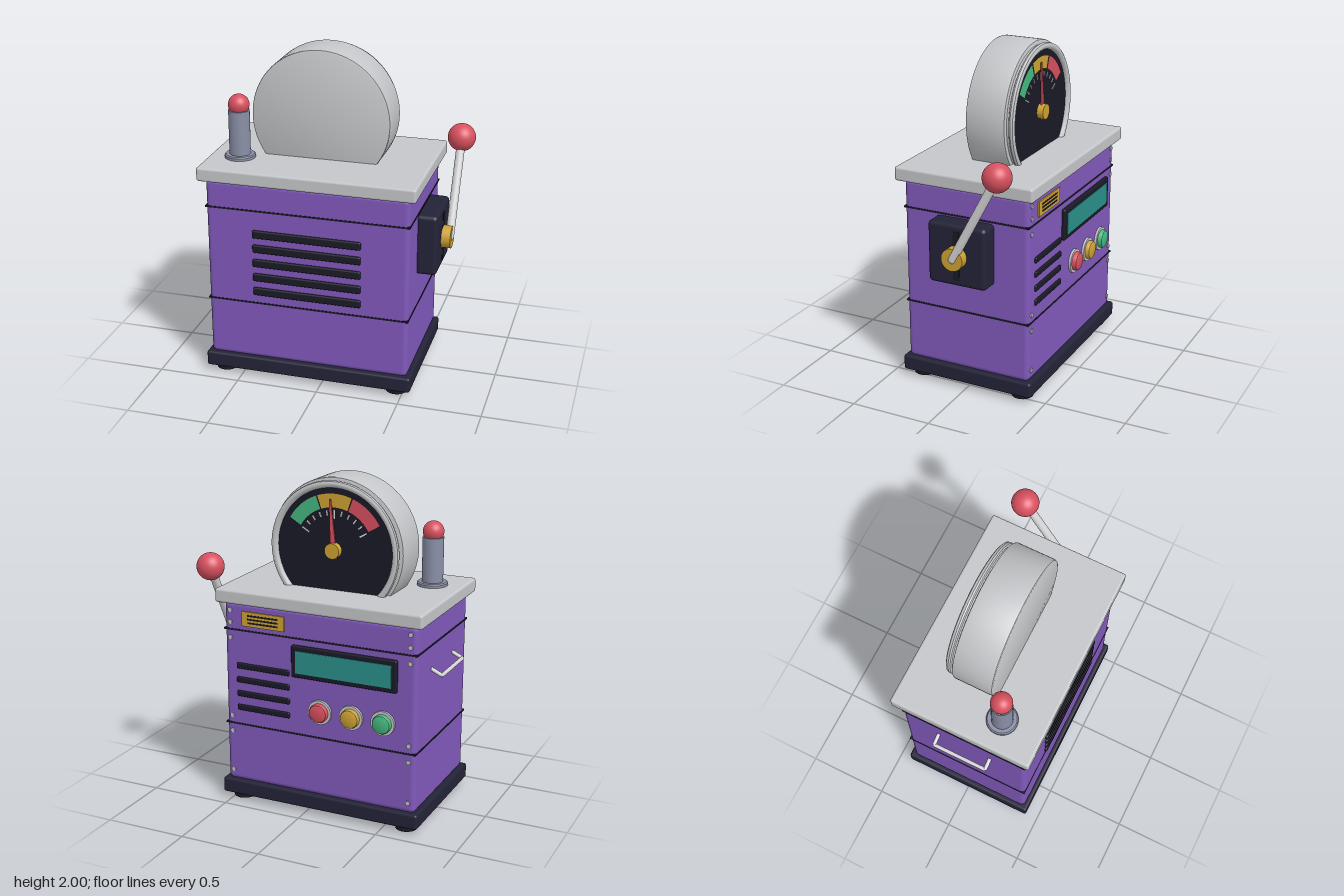
import * as THREE from 'three';
import { toCreasedNormals } from 'three/addons/utils/BufferGeometryUtils.js';
import { RoundedBoxGeometry } from 'three/addons/geometries/RoundedBoxGeometry.js';

const material = (name, color) => {
  const m = new THREE.MeshStandardMaterial({ color });
  m.name = name;
  return m;
};

export function createModel() {
  const purple = material('purple', 0x8159bc);
  const grey = material('grey', 0xc5c6c9);
  const navy = material('navy', 0x232338);
  const black = material('black', 0x1a1a26);
  const slate = material('slate', 0x8a8fa6);
  const red = material('red', 0xd8505f);
  const gold = material('gold', 0xcfa233);
  const teal = material('teal', 0x2a8f8a);
  const green = material('green', 0x45b880);
  const steel = material('steel', 0xd6d6d8);

  const CX = -0.085; // centre line of the cabinet
  const model = new THREE.Group();
  model.name = 'meterCabinet';

  const add = (parent, name, geometry, mat, x = 0, y = 0, z = 0) => {
    const mesh = new THREE.Mesh(geometry, mat);
    mesh.name = name;
    mesh.position.set(x, y, z);
    parent.add(mesh);
    return mesh;
  };
  const group = (name, x = 0, y = 0, z = 0) => {
    const g = new THREE.Group();
    g.name = name;
    g.position.set(x, y, z);
    model.add(g);
    return g;
  };
  const rbox = (w, h, d, r) => new RoundedBoxGeometry(w, h, d, 3, r);
  const box = (w, h, d) => new THREE.BoxGeometry(w, h, d);
  // disc facing z
  const disc = (r, h, seg = 32) => new THREE.CylinderGeometry(r, r, h, seg).rotateX(Math.PI / 2);
  const lathe = (pts, seg = 48) => toCreasedNormals(
    new THREE.LatheGeometry(pts.map(([r, y]) => new THREE.Vector2(r, y)), seg), 0.6);

  // Cabinet
  add(model, 'base', rbox(1.28, 0.095, 0.85, 0.015), navy, CX, 0.083, 0);
  add(model, 'body', rbox(1.23, 1.135, 0.8, 0.03), purple, CX, 0.6925, 0);
  add(model, 'topPlate', rbox(1.31, 0.085, 0.88, 0.015), grey, CX, 1.2975, 0);
  for (const y of [0.495, 1.09]) add(model, 'seam', box(1.236, 0.01, 0.806), black, CX, y, 0);
  for (const x of [-0.54, 0.54]) for (const z of [-0.33, 0.33]) {
    add(model, 'foot', new THREE.CylinderGeometry(0.065, 0.065, 0.04, 24), black, CX + x, 0.02, z);
  }

  // Front louvres
  for (let i = 0; i < 5; i++) {
    add(model, 'frontVent', rbox(0.66, 0.05, 0.03, 0.01), black, CX, 0.575 + i * 0.0925, 0.4);
  }

  // Signal lamp
  const lamp = group('signalLamp', -0.555, 1.34, 0.185);
  add(lamp, 'lampPost', lathe([[0, -0.01], [0.092, -0.01], [0.092, 0.015], [0.085, 0.022],
    [0.063, 0.022], [0.063, 0.29], [0, 0.29]], 32), slate);
  add(lamp, 'lampBulb', new THREE.SphereGeometry(0.063, 32, 20), red, 0, 0.322, 0);

  // Side lever
  const lever = group('lever', 0, 0.89, 0);
  add(lever, 'leverBox', rbox(0.13, 0.375, 0.37, 0.025), navy, 0.58, 0.003, 0);
  add(lever, 'leverSlot', box(0.008, 0.3, 0.04), black, 0.643, 0.003, 0);
  add(lever, 'leverHub', new THREE.CylinderGeometry(0.068, 0.068, 0.06, 32).rotateZ(Math.PI / 2),
    gold, 0.67, 0, 0);
  const tip = new THREE.Vector3(0.685, 0.532, -0.283);
  const root = new THREE.Vector3(0.685, 0, 0);
  const span = tip.clone().sub(root);
  const rod = add(lever, 'leverRod', new THREE.CylinderGeometry(0.026, 0.026, span.length(), 20), steel);
  rod.position.copy(root).addScaledVector(span, 0.5);
  rod.quaternion.setFromUnitVectors(new THREE.Vector3(0, 1, 0), span.clone().normalize());
  add(lever, 'leverRodEnd', new THREE.SphereGeometry(0.026, 20, 12), steel, 0.685, 0, 0);
  add(lever, 'leverKnob', new THREE.SphereGeometry(0.084, 32, 24), red, tip.x, tip.y, tip.z);

  // Carrying handle
  const path = new THREE.CurvePath();
  const corners = [[-0.69, 0.948, -0.17], [-0.763, 0.914, -0.17], [-0.763, 0.914, 0.17], [-0.69, 0.948, 0.17]]
    .map((p) => new THREE.Vector3(...p));
  for (let i = 0; i < 3; i++) path.add(new THREE.LineCurve3(corners[i], corners[i + 1]));
  add(model, 'sideHandle', new THREE.TubeGeometry(path, 80, 0.012, 10), steel);

  // Gauge: local +z points out of the dial
  const gauge = group('gauge', CX, 1.58, 0);
  gauge.rotation.y = Math.PI;
  const R = 0.42;
  add(gauge, 'gaugeDrum', lathe([[0, -0.1], [R - 0.012, -0.1], [R - 0.003, -0.096], [R, -0.088],
    [R, 0.138], [R - 0.003, 0.147], [R - 0.012, 0.15], [0, 0.15]], 80).rotateX(Math.PI / 2), grey);
  add(gauge, 'gaugeBezel', lathe([[0.392, 0.14], [0.392, 0.162], [0.402, 0.168], [0.406, 0.178],
    [0.402, 0.192], [0.392, 0.198], [0.38, 0.198], [0.37, 0.192], [0.364, 0.18], [0.364, 0.15]], 80)
    .rotateX(Math.PI / 2), grey);
  add(gauge, 'dialFace', disc(0.366, 0.03, 64), black, 0, 0, 0.16);
  const rad = THREE.MathUtils.degToRad;
  [[red, 30], [gold, 70], [green, 110]].forEach(([mat, start]) => {
    add(gauge, 'dialZone', new THREE.RingGeometry(0.25, 0.33, 20, 1, rad(start + 0.8), rad(38.4)),
      mat, 0, 0, 0.179);
  });
  for (let i = 0; i <= 10; i++) {
    const a = rad(30 + i * 12);
    const len = i % 5 ? 0.03 : 0.05;
    const r = 0.235 - len / 2;
    add(gauge, 'dialTick', box(len, 0.008, 0.005), steel, r * Math.cos(a), r * Math.sin(a), 0.178)
      .rotation.z = a;
  }
  const needleShape = new THREE.Shape([[-0.02, -0.05], [0.02, -0.05], [0.005, 0.3], [-0.005, 0.3]]
    .map((p) => new THREE.Vector2(...p)));
  add(gauge, 'needle', new THREE.ExtrudeGeometry(needleShape, { depth: 0.008, bevelEnabled: false }),
    red, 0, 0, 0.187).rotation.z = rad(4);
  add(gauge, 'needleHub', disc(0.046, 0.045), gold, 0, 0, 0.193);

  // Control panel on the far side: local +z points outwards, x is mirrored
  const panel = group('controlPanel');
  panel.rotation.y = Math.PI;
  const Z = 0.4;
  add(panel, 'screenFrame', rbox(0.665, 0.195, 0.04, 0.01), black, 0.2525, 0.953, Z + 0.002);
  add(panel, 'screen', box(0.605, 0.137, 0.008), teal, 0.2525, 0.953, Z + 0.022);
  for (let i = 0; i < 4; i++) {
    add(panel, 'panelVent', rbox(0.35, 0.036, 0.024, 0.008), black, -0.275, 0.605 + i * 0.088, Z);
  }
  [red, gold, green].forEach((mat, i) => {
    const x = 0.1 + i * 0.2;
    add(panel, 'buttonRing', disc(0.074, 0.03), grey, x, 0.66, Z);
    add(panel, 'button', lathe([[0.057, 0], [0.057, 0.033], [0.053, 0.041], [0.045, 0.045], [0, 0.045]], 32)
      .rotateX(Math.PI / 2), mat, x, 0.66, Z);
  });
  add(panel, 'badge', box(0.28, 0.09, 0.016), gold, -0.27, 1.165, Z);
  for (const y of [-0.022, 0, 0.022]) {
    add(panel, 'badgeSlit', box(0.2, 0.01, 0.006), black, -0.27, 1.165 + y, Z + 0.007);
  }
  for (const x of [-0.49, 0.66]) for (const y of [0.19, 0.445, 0.545, 1.04, 1.135, 1.21]) {
    add(panel, 'rivet', disc(0.014, 0.014, 14), grey, x, y, Z);
  }

  return model;
}
